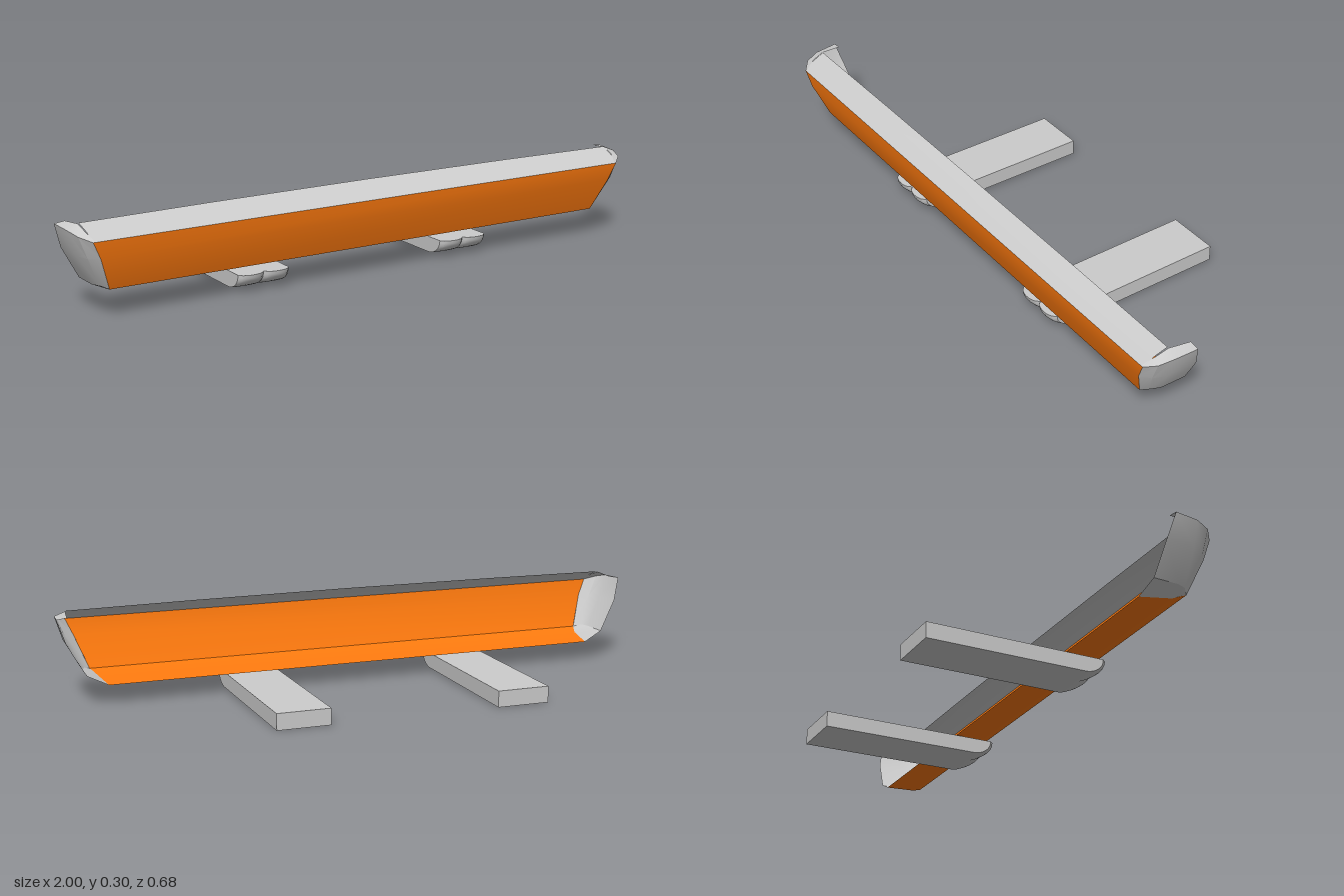
import * as THREE from 'three';
import { toCreasedNormals } from 'three/addons/utils/BufferGeometryUtils.js';

const grey = new THREE.MeshStandardMaterial({ color: 0xcccccc, side: THREE.DoubleSide });
const orange = new THREE.MeshStandardMaterial({ color: 0xff7a0e, side: THREE.DoubleSide });

// Sheet skinned over rows of [x, y, z] points
function sheet(name, rows, material, crease = 0.4) {
  const n = rows[0].length, index = [];
  for (let i = 0; i < rows.length - 1; i++)
    for (let j = 0; j < n - 1; j++) {
      const a = i * n + j, b = a + 1, c = a + n, d = c + 1;
      index.push(a, b, d, a, d, c);
    }
  const g = new THREE.BufferGeometry();
  g.setAttribute('position', new THREE.Float32BufferAttribute(rows.flat(2), 3));
  g.setIndex(index);
  const mesh = new THREE.Mesh(toCreasedNormals(g, crease), material);
  mesh.name = name;
  return mesh;
}

// Skid runner: side profile extruded across, nose pressed into two rounded lobes
function runner(name, x) {
  const width = 0.175;
  const s = new THREE.Shape();
  s.moveTo(-0.337, 0);
  s.lineTo(0.21, 0.008);
  s.bezierCurveTo(0.25, 0.011, 0.29, 0.03, 0.29, 0.06);
  s.lineTo(-0.337, 0.053);
  const g = new THREE.ExtrudeGeometry(s, { depth: width, steps: 16, bevelEnabled: false, curveSegments: 8 });
  const p = g.attributes.position;
  for (let i = 0; i < p.count; i++) {
    const z = p.getX(i);
    if (z > 0.21) {
      const lobe = Math.abs(Math.sin(2 * Math.PI * p.getZ(i) / width));
      p.setX(i, z - 0.02 * (1 - Math.sqrt(lobe)) * (z - 0.21) / 0.08);
    }
  }
  g.rotateY(-Math.PI / 2);
  g.translate(x + width / 2, 0, 0);
  const mesh = new THREE.Mesh(toCreasedNormals(g, 0.5), grey);
  mesh.name = name;
  return mesh;
}

export function createModel() {
  const model = new THREE.Group();
  model.name = 'bumper';

  // Front panel with the floor lip turned back underneath: [half width, y, z]
  const section = [
    [0.85, 0.065, 0.145], [0.865, 0.077, 0.25], [0.88, 0.09, 0.29],
    [0.92, 0.195, 0.33], [0.945, 0.25, 0.338],
  ];
  const span = ([x, y, z]) => [[-x, y, z], [x, y, z]];
  model.add(sheet('floorLip', section.slice(0, 3).map(span), orange));
  model.add(sheet('frontPanel', section.slice(2).map(span), orange));

  // Top strip, sloping up to the rear and slightly crowned in the middle
  const across = [-1, -0.55, 0, 0.55, 1];
  model.add(sheet('topStrip', [
    across.map(t => [t * 0.945, 0.25, 0.338]),
    across.map(t => [t * 0.95, 0.273 + 0.002 * (1 - t * t), 0.305]),
    across.map(t => [t * 0.955, 0.291 + 0.006 * (1 - t * t), 0.26]),
  ], grey));

  // Wrap-around end caps with a narrow inward rim
  const cap = [
    [[0.88, 0.09, 0.29], [0.872, 0.084, 0.27], [0.865, 0.077, 0.25], [0.85, 0.065, 0.145]],
    [[0.884, 0.1, 0.294], [0.902, 0.099, 0.27], [0.914, 0.098, 0.24], [0.917, 0.097, 0.155]],
    [[0.92, 0.195, 0.33], [0.95, 0.195, 0.306], [0.968, 0.197, 0.265], [0.975, 0.2, 0.168]],
    [[0.945, 0.25, 0.338], [0.978, 0.264, 0.31], [0.993, 0.275, 0.265], [1, 0.278, 0.187]],
  ];
  const rim = [
    cap[3],
    [[0.94, 0.254, 0.335], [0.953, 0.275, 0.3], [0.958, 0.289, 0.26], [0.967, 0.282, 0.187]],
  ];
  for (const [side, label] of [[1, 'left'], [-1, 'right']]) {
    const flip = rows => rows.map(r => r.map(([x, y, z]) => [side * x, y, z]));
    model.add(sheet(label + 'EndCap', flip(cap), grey, 0.5));
    model.add(sheet(label + 'EndRim', flip(rim), grey));
    model.add(runner(label + 'Runner', side * 0.3675));
  }
  return model;
}
